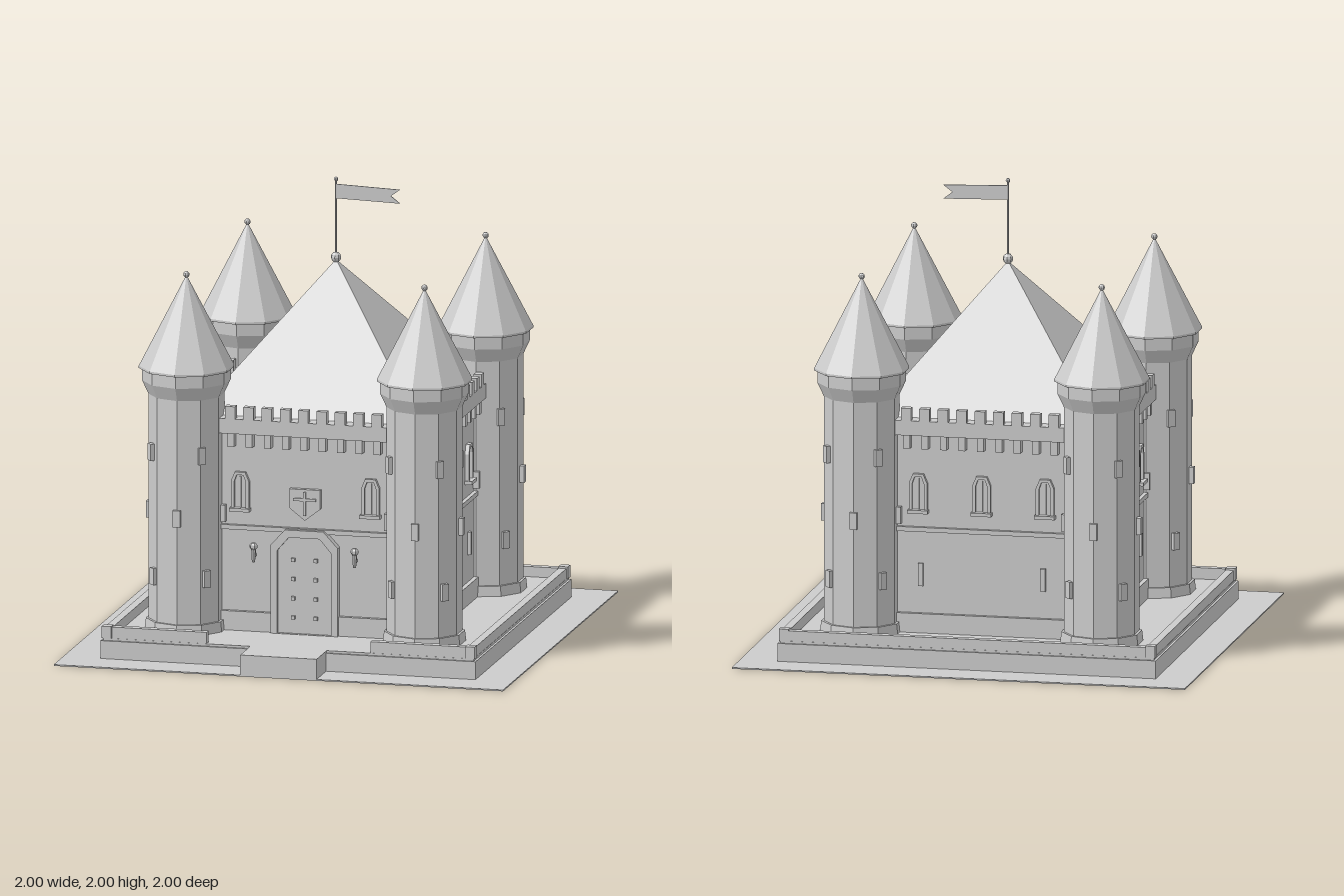
import * as THREE from 'three';

const stone = new THREE.MeshStandardMaterial({ color: 0xcccccc, flatShading: true });
stone.name = 'grey stone';

function add(parent, name, geometry, x = 0, y = 0, z = 0) {
  const mesh = new THREE.Mesh(geometry, stone);
  mesh.name = name;
  mesh.position.set(x, y, z);
  parent.add(mesh);
  return mesh;
}

// Box given by its bottom y and top y
function block(parent, name, w, y0, y1, d, x = 0, z = 0) {
  return add(parent, name, new THREE.BoxGeometry(w, y1 - y0, d), x, (y0 + y1) / 2, z);
}

// Flat plate from an outline, extruded towards +z
function plate(parent, name, points, depth, x, y, z, hole) {
  const shape = new THREE.Shape(points.map(p => new THREE.Vector2(...p)));
  if (hole) shape.holes.push(new THREE.Path(hole.map(p => new THREE.Vector2(...p))));
  return add(parent, name, new THREE.ExtrudeGeometry(shape, { depth, bevelEnabled: false }), x, y, z);
}

function group(parent, name) {
  const g = new THREE.Group();
  g.name = name;
  parent.add(g);
  return g;
}

const WALL = 0.52, FLOOR = 0.095;

// Outline of an opening with a faceted arch
function archOutline(w, h, rise) {
  const r = w / 2;
  return [[-r, 0], [r, 0], [r, h - rise], [r * 0.57, h], [-r * 0.57, h], [-r, h - rise]];
}

function archedWindow(parent, x) {
  const g = group(parent, 'window');
  plate(g, 'windowFrame', archOutline(0.08, 0.16, 0.04), 0.018, x, 0.635, WALL, 
    archOutline(0.052, 0.145, 0.03).map(([a, b]) => [a, b + 0.002]));
  plate(g, 'windowPane', archOutline(0.056, 0.148, 0.03), 0.005, x, 0.635, WALL);
  block(g, 'windowSill', 0.09, 0.622, 0.637, 0.035, x, WALL + 0.015);
  block(g, 'windowBar', 0.008, 0.64, 0.775, 0.01, x, WALL + 0.005);
}

function gate(parent) {
  const g = group(parent, 'gate');
  const h = 0.46;
  plate(g, 'gateFrame', archOutline(0.3, h, 0.07), 0.035, 0, FLOOR, WALL,
    archOutline(0.24, h - 0.035, 0.06).map(([a, b]) => [a, b + 0.002]));
  plate(g, 'gateDoor', archOutline(0.25, h - 0.03, 0.06), 0.022, 0, FLOOR, WALL);
  for (const x of [-0.05, 0.05]) for (let i = 0; i < 4; i++)
    block(g, 'doorStud', 0.016, 0.16 + i * 0.085, 0.176 + i * 0.085, 0.016, x, WALL + 0.026);

  // Shield with a plain cross
  plate(parent, 'shield', [[-0.068, 0.735], [-0.068, 0.65], [0, 0.597], [0.068, 0.65], [0.068, 0.735]],
    0.022, 0, 0, WALL);
  block(parent, 'shieldBar', 0.012, 0.62, 0.725, 0.008, 0, WALL + 0.025);
  block(parent, 'shieldBar', 0.1, 0.684, 0.696, 0.008, 0, WALL + 0.025);

  // Wall torches
  for (const x of [-0.225, 0.225]) {
    const t = group(parent, 'torch');
    add(t, 'torchHandle', new THREE.CylinderGeometry(0.012, 0.007, 0.06, 6), x, 0.435, WALL + 0.035);
    add(t, 'torchFlame', new THREE.SphereGeometry(0.018, 6, 5), x, 0.475, WALL + 0.035);
    block(t, 'torchBracket', 0.01, 0.425, 0.437, 0.035, x, WALL + 0.017);
  }
}

// One side of the keep, built facing +z
function keepSide(parent, name, angle) {
  const g = group(parent, name);
  g.rotation.y = angle;
  const isFront = name === 'frontWall', isBack = name === 'backWall';

  if (isFront) {
    for (const s of [-1, 1]) block(g, 'wallPlinth', 0.25, FLOOR, 0.18, 0.02, s * 0.275, WALL + 0.01);
  } else {
    block(g, 'wallPlinth', 0.8, FLOOR, 0.18, 0.02, 0, WALL + 0.01);
  }
  block(g, 'stringCourse', 0.8, 0.54, 0.56, 0.018, 0, WALL + 0.009);

  // Parapet, corbels and merlons
  block(g, 'parapet', 0.86, 0.97, 1.035, 0.07, 0, 0.535);
  for (let i = -4; i <= 4; i++) {
    block(g, 'corbel', 0.03, 0.91, 0.97, 0.04, i * 0.0815, WALL + 0.02);
    block(g, 'merlon', 0.045, 1.035, 1.09, 0.035, i * 0.0815, 0.5525);
  }

  if (isFront) {
    gate(g);
    for (const x of [-0.29, 0.29]) archedWindow(g, x);
  } else {
    for (const x of isBack ? [-0.28, 0, 0.28] : [-0.25, 0.25]) archedWindow(g, x);
    for (const x of [-0.27, 0.27]) block(g, 'wallSlit', 0.022, 0.3, 0.4, 0.018, x, WALL + 0.005);
  }

  // Central pilaster with a small pointed foot
  if (!isFront && !isBack) {
    block(g, 'pilaster', 0.1, 0.56, 0.94, 0.02, 0, WALL + 0.01);
    block(g, 'pilasterSlit', 0.02, 0.7, 0.84, 0.01, 0, WALL + 0.022);
    plate(g, 'pilasterPoint', [[-0.025, 0.562], [0.025, 0.562], [0, 0.585]], 0.012, 0, 0, WALL + 0.02);
  }
}

function tower(parent, x, z) {
  const g = group(parent, 'tower');
  g.position.set(x, 0, z);
  const ring = (name, top, bottom, y0, y1) =>
    add(g, name, new THREE.CylinderGeometry(top, bottom, y1 - y0, 10), 0, (y0 + y1) / 2, 0);
  ring('towerPlinth', 0.175, 0.18, FLOOR, 0.14);
  ring('towerShaft', 0.164, 0.164, FLOOR, 1.14);
  ring('towerFlare', 0.192, 0.164, 1.13, 1.19);
  ring('towerCollar', 0.192, 0.192, 1.19, 1.25);
  ring('towerEave', 0.206, 0.206, 1.244, 1.254);
  ring('towerRoof', 0.004, 0.206, 1.254, 1.645);
  add(g, 'towerFinial', new THREE.SphereGeometry(0.014, 8, 6), 0, 1.655, 0);

  // Arrow slits, turned a little on each level
  for (const [y, turn] of [[0.34, 0.8], [0.61, 0], [0.885, 0.66]])
    for (let i = 0; i < 4; i++) {
      const a = turn + i * Math.PI / 2;
      const slit = block(g, 'arrowSlit', 0.032, y - 0.037, y + 0.037, 0.03, Math.sin(a) * 0.161, Math.cos(a) * 0.161);
      slit.rotation.y = a;
    }
}

export function createModel() {
  const model = new THREE.Group();
  model.name = 'castle';

  // Ground, terrace and entrance step
  block(model, 'ground', 2, 0, 0.006, 2);
  block(model, 'terraceBase', 1.67, 0, 0.085, 1.67);
  block(model, 'terraceFloor', 1.65, 0.085, FLOOR, 1.65);
  block(model, 'entranceStep', 0.34, 0, FLOOR, 0.18, 0, 0.91);

  // Low boundary wall, open at the front
  for (const s of [-1, 1]) {
    block(model, 'boundaryWall', 0.035, FLOOR, 0.14, 1.6, s * 0.806, 0);
    block(model, 'boundaryWallFront', 0.42, FLOOR, 0.145, 0.035, s * 0.575, 0.806);
    for (const t of [-1, 1]) block(model, 'cornerPost', 0.042, FLOOR, 0.148, 0.042, s * 0.809, t * 0.809);
  }
  block(model, 'boundaryWallBack', 1.6, FLOOR, 0.14, 0.035, 0, -0.806);

  // Keep
  block(model, 'keepBody', WALL * 2, FLOOR, 1.03, WALL * 2);
  ['frontWall', 'leftWall', 'backWall', 'rightWall'].forEach((n, i) => keepSide(model, n, i * Math.PI / 2));
  const roof = add(model, 'keepRoof', new THREE.ConeGeometry(0.5 * Math.SQRT2, 0.6, 4), 0, 1.335, 0);
  roof.rotation.y = Math.PI / 4;

  // Corner towers
  for (const x of [-0.53, 0.53]) for (const z of [-0.53, 0.53]) tower(model, x, z);

  // Flagpole and pennant
  add(model, 'roofBall', new THREE.SphereGeometry(0.023, 8, 6), 0, 1.645, 0);
  add(model, 'flagPole', new THREE.CylinderGeometry(0.005, 0.005, 0.36, 8), 0, 1.81, 0);
  add(model, 'poleTip', new THREE.SphereGeometry(0.01, 8, 6), 0, 1.99, 0);
  plate(model, 'flag', [[0, 1.905], [0.285, 1.897], [0.245, 1.928], [0.285, 1.958], [0, 1.968]], 0.005, 0, 0, -0.0025);
  return model;
}
